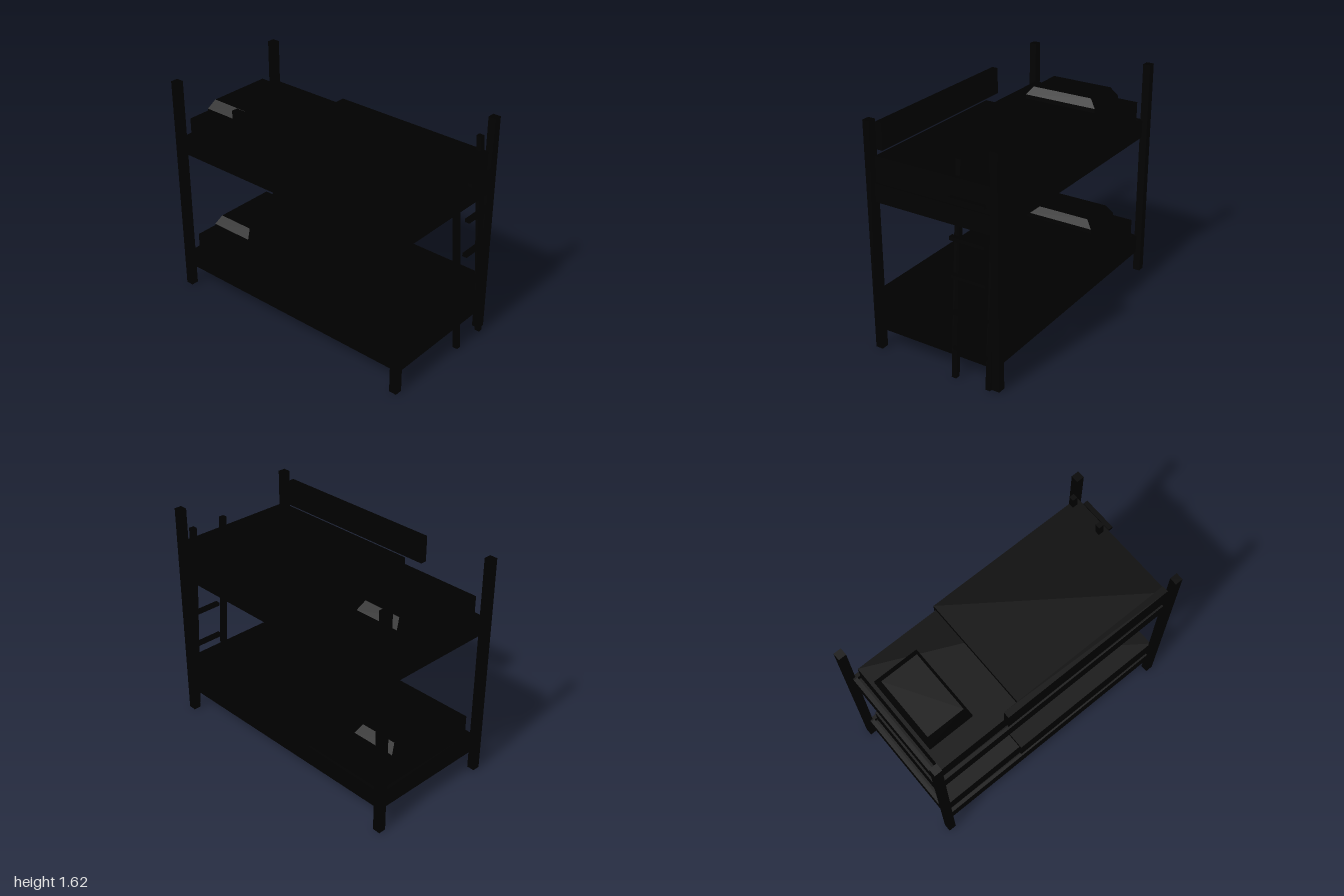
import * as THREE from 'three';

export function createModel() {
  const model = new THREE.Group();
  model.name = 'bunkBed';
  const black = new THREE.MeshStandardMaterial({ color: 0x000000 });
  black.name = 'black';

  const add = (parent, name, geometry) => {
    const mesh = new THREE.Mesh(geometry, black);
    mesh.name = name;
    parent.add(mesh);
    return mesh;
  };
  // Box given by its minimum and maximum on each axis
  const box = (parent, name, [x0, x1], [y0, y1], [z0, z1]) => {
    const mesh = add(parent, name, new THREE.BoxGeometry(x1 - x0, y1 - y0, z1 - z0));
    mesh.position.set((x0 + x1) / 2, (y0 + y1) / 2, (z0 + z1) / 2);
    return mesh;
  };

  // Four corner posts
  for (const x of [-0.467, 0.467]) {
    for (const z of [-0.972, 0.932]) {
      box(model, 'post', [x - 0.027, x + 0.027], [0, 1.616], [z - 0.028, z + 0.028]);
    }
  }

  // Pillow: straight lower sides, then a wide chamfer up to the top
  const pillowGeometry = () => {
    const g = new THREE.BoxGeometry(0.56, 0.09, 0.335, 1, 2, 1).toNonIndexed();
    const p = g.attributes.position;
    for (let i = 0; i < p.count; i++) {
      if (p.getY(i) > 0.04) {
        p.setX(i, Math.sign(p.getX(i)) * 0.232);
        p.setZ(i, Math.sign(p.getZ(i)) * 0.14);
      } else if (p.getY(i) > -0.04) {
        p.setY(i, -0.015);
      }
    }
    g.computeVertexNormals();
    return g;
  };

  // Two identical bunks
  for (const [name, y] of [['lowerBunk', 0.148], ['upperBunk', 1.072]]) {
    const bunk = new THREE.Group();
    bunk.name = name;
    bunk.position.y = y;
    model.add(bunk);
    for (const s of [-1, 1]) {
      const rail = box(bunk, 'sideRail', [-0.014, 0.014], [0, 0.13], [-0.965, 0.944]);
      rail.position.x = s * 0.442;
    }
    box(bunk, 'headRail', [-0.428, 0.428], [0, 0.13], [-0.965, -0.935]);
    box(bunk, 'footRail', [-0.428, 0.428], [0, 0.13], [0.93, 0.944]);
    box(bunk, 'basePanel', [-0.428, 0.428], [0.07, 0.09], [-0.935, 0.922]);
    box(bunk, 'mattress', [-0.423, 0.423], [0.09, 0.27], [-0.915, 0.9]);
    box(bunk, 'blanket', [-0.443, 0.443], [0.1, 0.304], [-0.29, 0.924]);
    add(bunk, 'pillow', pillowGeometry()).position.set(0, 0.315, -0.723);
  }

  // Guard board on the upper bunk
  box(model, 'guardBoard', [-0.485, -0.44], [1.386, 1.572], [-0.435, 0.853]);

  // Leaning ladder: rails sheared backwards towards the top
  const ladder = new THREE.Group();
  ladder.name = 'ladder';
  model.add(ladder);
  for (const x of [0.163, 0.423]) {
    const g = new THREE.BoxGeometry(0.035, 1.475, 0.038);
    const p = g.attributes.position;
    for (let i = 0; i < p.count; i++) p.setZ(i, p.getZ(i) - 0.068 * p.getY(i));
    g.computeVertexNormals();
    add(ladder, 'ladderRail', g).position.set(x, 0.7425, 0.916);
  }
  [0.232, 0.49, 0.748, 1.008, 1.267].forEach((y, i) => {
    const z = 0.973 + i * 0.0025;
    box(ladder, 'rung', [0.165, 0.42], [y - 0.0125, y + 0.0125], [z - 0.0175, z + 0.0175]);
  });
  return model;
}
